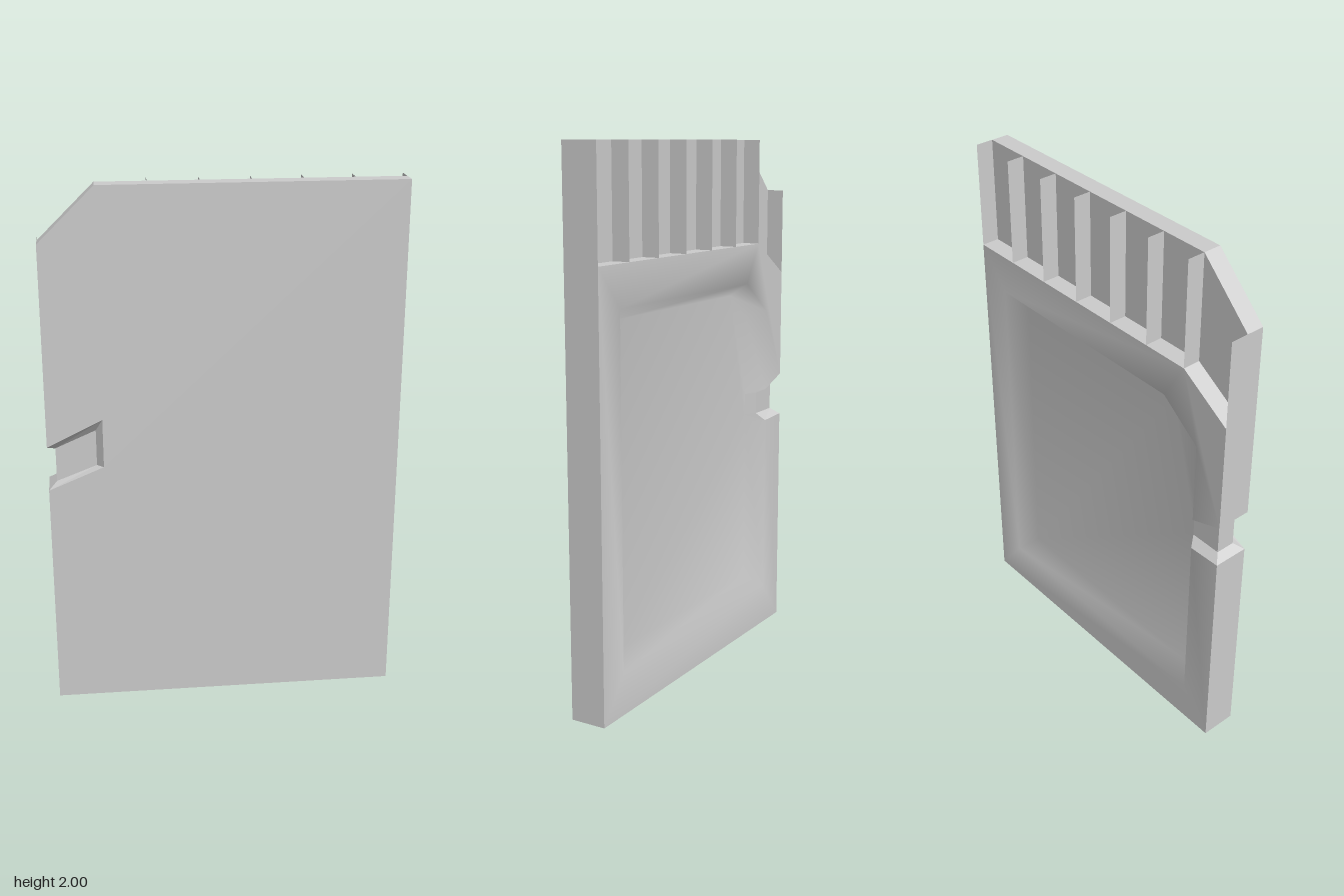
import * as THREE from 'three';
import { mergeGeometries, mergeVertices } from 'three/addons/utils/BufferGeometryUtils.js';

const D = 0.068;  // half thickness
const W = 0.037;  // half thickness of the web inside the side notch
const X = 0.655;  // half width

const material = new THREE.MeshStandardMaterial({ color: 0xcccccc, flatShading: true });
const smoothMaterial = new THREE.MeshStandardMaterial({ color: 0xcccccc });
const sheetMaterial = material.clone();
sheetMaterial.side = THREE.DoubleSide;

// Lifts a 2D path to depth z
const at = (path, z) => path.map(([x, y]) => [x, y, z]);

// Band of quads between two 3D paths of equal length
function strip(a, b) {
  const pos = [];
  for (let i = 0; i < a.length - 1; i++) {
    pos.push(...a[i], ...a[i + 1], ...b[i + 1], ...a[i], ...b[i + 1], ...b[i]);
  }
  const g = new THREE.BufferGeometry();
  g.setAttribute('position', new THREE.Float32BufferAttribute(pos, 3));
  g.computeVertexNormals();
  return g;
}

// Flat polygon at depth z, facing the front (side = 1) or the back (side = -1)
function face(path, z, side) {
  const shape = new THREE.Shape(path.map(([x, y]) => new THREE.Vector2(x * side, y)));
  const g = new THREE.ShapeGeometry(shape).toNonIndexed();
  g.deleteAttribute('uv');
  if (side < 0) g.rotateY(Math.PI);
  return g.translate(0, 0, z);
}

// Joins pieces into one smooth-shaded surface
function smooth(pieces) {
  const g = mergeGeometries(pieces);
  g.deleteAttribute('normal');
  const welded = mergeVertices(g);
  welded.computeVertexNormals();
  return welded;
}

export function createModel() {
  const model = new THREE.Group();
  model.name = 'memoryCard';
  const add = (parent, name, geometry, mat = material) => {
    const mesh = new THREE.Mesh(geometry, mat);
    mesh.name = name;
    parent.add(mesh);
  };
  const group = (name) => {
    const g = new THREE.Group();
    g.name = name;
    model.add(g);
    return g;
  };

  // Front notch mouth and the smaller floor inside it
  const frontMouth = [[-X, 1.05], [-0.45, 1.15], [-0.45, 0.965], [-X, 0.88]];
  const frontFloor = [[-0.625, 1.035], [-0.475, 1.1], [-0.475, 0.962], [-0.625, 0.905]];

  // Back notch opens into the label recess; upper and lower lips
  const upperLip = [[-X, 1.05], [-0.525, 1.005]];
  const lowerLip = [[-0.525, 0.875], [-X, 0.88]];
  const upperFoot = [[-0.625, 1.035], [-0.502, 0.99]];
  const lowerFoot = [[-0.502, 0.905], [-0.625, 0.905]];

  // Label recess rim and floor outlines, from the upper notch lip round to the lower one
  const recessRim = [
    upperLip[1], [-0.525, 1.325], [-0.36, 1.45], [0.53, 1.45], [0.53, 0.16], [-0.525, 0.16], lowerLip[0],
  ];
  const recessFloor = [
    [-0.475, 0.985], [-0.475, 1.3], [-0.343, 1.4], [0.48, 1.4], [0.48, 0.21], [-0.475, 0.21], [-0.475, 0.875],
  ];

  // Lower edge of the contact bay
  const bayEdge = [[X, 1.6], [-0.45, 1.6], [-X, 1.47]];

  // Body shell; the back sinks through sloped walls to the label floor at mid depth
  const body = group('body');
  add(body, 'frontFace', face([[-X, 0], [X, 0], [X, 2], [-0.45, 2], [-X, 1.8], ...frontMouth], D, 1));
  add(body, 'backWithLabelRecess', smooth([
    face([[-X, 0], [X, 0], ...bayEdge, upperLip[0], ...recessRim, lowerLip[1]], -D, -1),
    strip(at(recessRim, -D), at(recessFloor, 0)),
    face(recessFloor, 0, -1),
  ]), smoothMaterial);
  const lowerRim = [[-X, 0.88], [-X, 0], [X, 0], [X, 1.6]];
  const upperRim = [[X, 1.6], [X, 2], [-0.45, 2], [-X, 1.8], [-X, 1.47]];
  const notchRim = [[-X, 1.47], [-X, 1.05]];
  add(body, 'lowerRim', strip(at(lowerRim, -D), at(lowerRim, D)));
  add(body, 'upperRim', strip(at(upperRim, 0), at(upperRim, D)));
  add(body, 'notchRim', strip(at(notchRim, -D), at(notchRim, D)));

  // Side notch
  const notch = group('sideNotch');
  add(notch, 'frontPocketWalls', strip(at(frontFloor, W), at(frontMouth, D)));
  add(notch, 'frontPocketFloor', face(frontFloor, W, 1));
  add(notch, 'backPocketTop', strip(at(upperLip, -D), at(upperFoot, -W)));
  add(notch, 'backPocketBottom', strip(at(lowerLip, -D), at(lowerFoot, -W)));
  add(notch, 'backPocketFloor', face([...upperFoot, ...lowerFoot], -W, -1));
  const profile = (s) => [[-X, 1.05, s * D], [-0.625, 1.035, s * W], [-0.625, 0.905, s * W], [-X, 0.88, s * D]];
  add(notch, 'notchEdge', strip(profile(-1), profile(1)));

  // Sloped web between the notch and the label recess
  const webTop = [lowerLip[0], lowerFoot[0], upperFoot[1], upperLip[1]];
  const webEdge = webTop.map(([x, y], i) => [x, y, i % 3 ? -W : -D]);
  add(notch, 'notchWeb', strip(webEdge, at([0.875, 0.9, 0.98, 0.985].map((y) => [-0.475, y]), 0)));

  // Contact bay: floor, ledge and thin dividers
  const bay = group('contactBay');
  add(bay, 'bayFloor', face([[X, 2], [-0.45, 2], [-X, 1.8], [-X, 1.47], [-0.45, 1.6], [X, 1.6]], 0, -1));
  add(bay, 'bayLedge', strip(at(bayEdge, -D), at(bayEdge, 0)));
  const divider = (x, y0, y1) =>
    add(bay, 'divider', strip([[x, y0, -D], [x, y1, -D]], [[x, y0, 0], [x, y1, 0]]), sheetMaterial);
  for (let i = 0; i < 7; i++) divider(X - (i * (X + 0.45)) / 6, 1.6, 2);
  divider(-X, 1.47, 1.8);

  return model;
}
